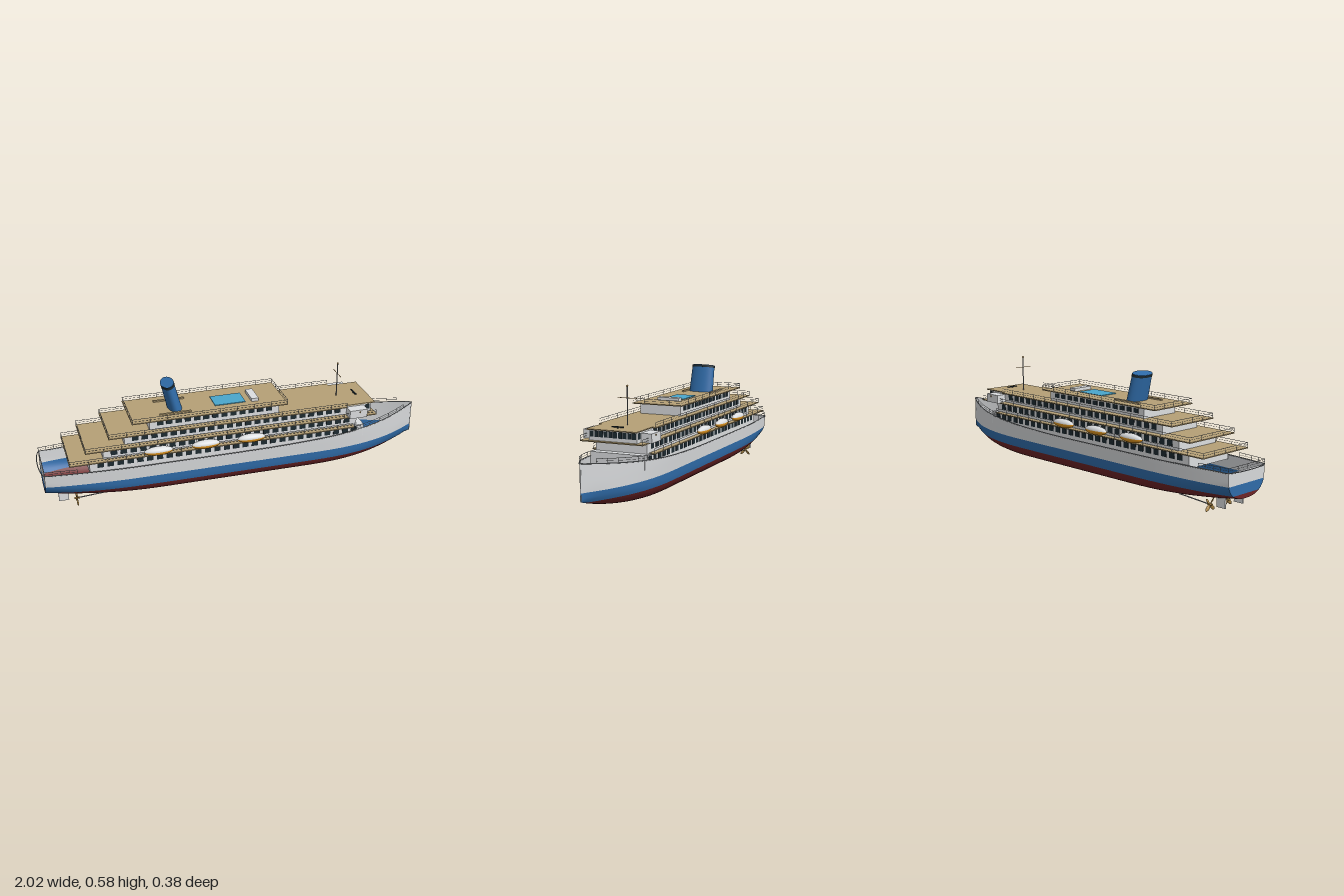
import * as THREE from 'three';
import { mergeGeometries } from 'three/addons/utils/BufferGeometryUtils.js';

const mat = (name, color, side = THREE.FrontSide) => {
  const m = new THREE.MeshStandardMaterial({ color, side });
  m.name = name;
  return m;
};

// Hull lines: keel height, sheer height, half breadth and section shape
const keelY = x => x < -0.4 ? 0.033 + 0.05 * ((-0.4 - x) / 0.6) ** 2
  : 0.033 + 0.082 * (Math.max(0, x - 0.35) / 0.65) ** 2.5;
const sheerY = x => 0.218 + 0.065 * Math.max(0, x) ** 2;
const beam = x => x > 0.35 ? 0.163 * (1 - ((x - 0.35) / 0.65) ** 2.6)
  : 0.163 - 0.033 * (Math.max(0, -0.5 - x) / 0.5) ** 2;
function halfWidth(x, y) {
  const k = keelY(x), u = Math.min(1, Math.max(0, (y - k) / 0.095));
  const section = (1 - (1 - u) ** 2.4) ** (1 / 2.4);
  return beam(x) * section * (0.965 + 0.035 * Math.min(1, y / 0.21));
}

// Surface over a grid of nu by nv cells
function grid(nu, nv, point) {
  const pos = [], idx = [];
  for (let i = 0; i <= nu; i++) for (let j = 0; j <= nv; j++) pos.push(...point(i / nu, j / nv));
  for (let i = 0; i < nu; i++) for (let j = 0; j < nv; j++) {
    const a = i * (nv + 1) + j, b = a + nv + 1;
    idx.push(a, b, a + 1, b, b + 1, a + 1);
  }
  const g = new THREE.BufferGeometry();
  g.setAttribute('position', new THREE.Float32BufferAttribute(pos, 3));
  g.setIndex(idx);
  g.computeVertexNormals();
  return g;
}

// Box given by its limits
function box(x0, x1, y0, y1, z0, z1) {
  return new THREE.BoxGeometry(x1 - x0, y1 - y0, z1 - z0)
    .translate((x0 + x1) / 2, (y0 + y1) / 2, (z0 + z1) / 2);
}

// Thin rod between two points
function rod(a, b, r = 0.0012) {
  const p = new THREE.Vector3(...a), q = new THREE.Vector3(...b);
  const d = q.clone().sub(p);
  const g = new THREE.CylinderGeometry(r, r, d.length(), 5);
  g.applyQuaternion(new THREE.Quaternion().setFromUnitVectors(new THREE.Vector3(0, 1, 0), d.normalize()));
  return g.translate(...p.add(q).multiplyScalar(0.5).toArray());
}

// Railing with posts and two bars along a list of points
function railing(points, h = 0.022) {
  const parts = [], up = (p, k) => [p[0], p[1] + k, p[2]];
  points.forEach((p, i) => {
    parts.push(rod(p, up(p, h), 0.001));
    if (i) for (const k of [h, h / 2]) parts.push(rod(up(points[i - 1], k), up(p, k), k === h ? 0.0012 : 0.0007));
  });
  return mergeGeometries(parts);
}

export function createModel() {
  const ship = new THREE.Group();
  ship.name = 'oceanLiner';
  const white = mat('white', 0xdcdee0);
  const hullWhite = mat('hullWhite', 0xd6d8da, THREE.DoubleSide);
  const blue = mat('blue', 0x2f6ba8, THREE.DoubleSide);
  const red = mat('bottomRed', 0x6e2426, THREE.DoubleSide);
  const tan = mat('deckTan', 0xb5a076);
  const orange = mat('lifeboatOrange', 0xe0951f);
  const dark = mat('darkGlass', 0x1d2a30);
  const water = mat('poolWater', 0x4aa6cc);
  const bronze = mat('bronze', 0xb08a48);
  const grey = mat('railGrey', 0x8f9396);
  const add = (name, g, m) => {
    const mesh = new THREE.Mesh(g, m);
    mesh.name = name;
    ship.add(mesh);
    return mesh;
  };

  // Open hull shell in three painted bands, with a flat transom
  const bands = [['hullBottom', red, 0, 0.105, 10], ['hullStripe', blue, 0.105, 0.153, 4], ['hullTopsides', hullWhite, 0.153, 1, 5]];
  for (const [name, m, lo, hi, rows] of bands) {
    const height = (x, v) => {
      const k = keelY(x), a = Math.max(lo, k), b = Math.max(a, Math.min(hi, sheerY(x)));
      return a + (b - a) * (lo ? v : v ** 2.2);
    };
    const parts = [1, -1].map(s => grid(64, rows, (u, v) => {
      const x = -1 + 2 * u, y = height(x, v);
      return [x, y, s * halfWidth(x, y)];
    }));
    parts.push(grid(2, rows, (u, v) => {
      const y = height(-1, v);
      return [-1, y, (2 * u - 1) * halfWidth(-1, y)];
    }));
    add(name, mergeGeometries(parts), m);
  }

  // Cap along the top edge of the hull
  const rim = [];
  for (let i = 0; i <= 40; i++) {
    const x = -1 + i / 20;
    rim.push(new THREE.Vector3(x, sheerY(x), halfWidth(x, sheerY(x))));
  }
  const loop = [...rim, ...rim.slice(0, -1).reverse().map(p => new THREE.Vector3(p.x, p.y, -p.z))];
  add('hullRim', new THREE.TubeGeometry(new THREE.CatmullRomCurve3(loop, true), 160, 0.0025, 5, true), grey);
  add('stem', rod([0.997, 0.118, 0], [0.997, 0.283, 0], 0.003), hullWhite);

  // Bow and stern railings following the hull edge
  const edge = (x, s) => [x, sheerY(x), s * halfWidth(x, sheerY(x))];
  for (const s of [1, -1]) {
    add('bowRail', railing([0.58, 0.64, 0.7, 0.76, 0.82, 0.88, 0.93].map(x => edge(x, s))), grey);
    add('sternRail', railing([-0.84, -0.88, -0.92, -0.96, -1].map(x => edge(x, s))), grey);
  }
  add('transomRail', railing([-1, -0.5, 0, 0.5, 1].map(k => [-1, 0.218, k * halfWidth(-1, 0.218)])), grey);

  // House tiers: house ends, heights, half width, window height, then deck slab ends and half width
  const tiers = [
    { x0: -0.78, x1: 0.66, y0: 0.2, y1: 0.267, w: 0.14, win: [0.231, 0.258], d0: -0.88, d1: 0.6, dw: 0.162 },
    { x0: -0.71, x1: 0.62, y0: 0.267, y1: 0.325, w: 0.132, win: [0.286, 0.314], d0: -0.8, d1: 0.72, dw: 0.16 },
    { x0: -0.6, x1: 0.57, y0: 0.325, y1: 0.38, w: 0.122, win: [0.344, 0.372], d0: -0.68, d1: 0.56, dw: 0.148 },
    { x0: -0.47, x1: 0.2, y0: 0.38, y1: 0.437, w: 0.11, win: [0.404, 0.426], d0: -0.56, d1: 0.24, dw: 0.134 },
  ];
  tiers.forEach((t, n) => {
    add('house' + (n + 1), box(t.x0, t.x1, t.y0, t.y1, -t.w, t.w), white);
    add('deck' + (n + 1), box(t.d0, t.d1, t.y1 - 0.002, t.y1 + 0.003, -t.dw, t.dw), tan);
    const panes = [], count = Math.round((t.x1 - t.x0 - 0.06) / 0.0485), pitch = (t.x1 - t.x0 - 0.06) / count;
    for (let i = 0; i < count; i++) for (const s of [1, -1]) {
      const x = t.x0 + 0.03 + (i + 0.5) * pitch;
      panes.push(box(x - 0.016, x + 0.016, ...t.win, s * t.w - 0.002, s * t.w + 0.002));
    }
    add('windows' + (n + 1), mergeGeometries(panes), dark);
    const y = t.y1 + 0.003, w = t.dw - 0.002, a = t.d0 + 0.002, b = t.d1 - 0.002, pts = [];
    const steps = Math.round((b - a) / 0.09);
    for (let i = 0; i <= steps; i++) pts.push([b + (a - b) * i / steps, y, w]);
    for (const k of [0.5, 0, -0.5]) pts.push([a, y, k * w]);
    for (let i = 0; i <= steps; i++) pts.push([a + (b - a) * i / steps, y, -w]);
    if (n === 3) for (const k of [-0.5, 0, 0.5, 1]) pts.push([b, y, k * w]);
    add('deckRail' + (n + 1), railing(pts), grey);
  });

  // Bridge with front windows, wings, roof and scanner
  add('bridge', box(0.56, 0.7, 0.325, 0.38, -0.122, 0.122), white);
  add('bridgeRoof', box(0.555, 0.72, 0.378, 0.383, -0.128, 0.128), tan);
  const bridgePanes = [];
  for (let i = 0; i < 10; i++) {
    const z = (i - 4.5) * 0.024;
    bridgePanes.push(box(0.698, 0.702, 0.345, 0.373, z - 0.0095, z + 0.0095));
  }
  for (const s of [1, -1]) {
    bridgePanes.push(box(0.67, 0.693, 0.345, 0.373, s * 0.122 - 0.002, s * 0.122 + 0.002));
    add('bridgeWing', box(0.565, 0.66, 0.326, 0.37, s * 0.148 - 0.027, s * 0.148 + 0.027), white);
    add('wingLight', new THREE.SphereGeometry(0.004, 8, 6).translate(0.62, 0.36, s * 0.177), bronze);
  }
  add('bridgeWindows', mergeGeometries(bridgePanes), dark);
  add('scanner', box(0.65, 0.657, 0.387, 0.392, -0.03, 0.03), dark);
  add('scannerPost', rod([0.653, 0.38, 0], [0.653, 0.388, 0], 0.004), dark);

  // Mast
  add('mast', rod([0.555, 0.38, 0], [0.555, 0.565, 0], 0.003), grey);
  add('mastYard', rod([0.555, 0.51, -0.05], [0.555, 0.51, 0.05], 0.0015), bronze);
  add('mastLight', new THREE.SphereGeometry(0.005, 10, 8).translate(0.555, 0.566, 0), bronze);

  // Raked oval funnel with a dark band
  const funnel = new THREE.Group();
  funnel.name = 'funnel';
  const oval = (name, r1, r0, h, y, m) => {
    const mesh = new THREE.Mesh(new THREE.CylinderGeometry(r1, r0, h, 40).scale(0.52, 1, 1).translate(0, y, 0), m);
    mesh.name = name;
    funnel.add(mesh);
  };
  oval('funnelBody', 0.0625, 0.067, 0.15, 0.07, blue);
  oval('funnelBand', 0.0645, 0.065, 0.012, 0.1375, dark);
  funnel.position.set(-0.318, 0.437, 0);
  funnel.rotation.z = 0.24;
  ship.add(funnel);

  // Top deck fittings
  add('pool', box(-0.12, 0.04, 0.438, 0.4435, -0.053, 0.053), water);
  add('poolHouse', box(0.07, 0.108, 0.438, 0.456, -0.058, 0.058), white);
  for (const s of [1, -1]) add('deckBench', box(-0.41, -0.25, 0.438, 0.447, s * 0.078 - 0.006, s * 0.078 + 0.006), tan);

  // Lifeboats: orange hull, white cover, hung from davits
  for (const s of [1, -1]) for (const x of [-0.44, -0.2, 0.037]) {
    const half = (start, len) => new THREE.SphereGeometry(1, 24, 10, 0, Math.PI * 2, start, len)
      .scale(0.073, 0.0225, 0.0245).translate(x, 0.294, s * 0.168);
    add('lifeboatHull', half(Math.PI * 0.48, Math.PI * 0.52), orange);
    add('lifeboatCover', half(0, Math.PI * 0.48), white);
    for (const k of [-0.045, 0.045]) {
      add('davit', rod([x + k, 0.326, s * 0.15], [x + k, 0.308, s * 0.166], 0.002), grey);
    }
  }

  // Twin propellers, shafts and rudders
  for (const s of [1, -1]) {
    const z = s * 0.063, blades = [];
    for (let i = 0; i < 4; i++) {
      blades.push(new THREE.SphereGeometry(1, 10, 8).scale(0.003, 0.019, 0.009).rotateY(0.5)
        .translate(0, 0.022, 0).rotateX(Math.PI / 4 + i * Math.PI / 2).translate(-0.845, 0.032, z));
    }
    add('propeller', mergeGeometries(blades), bronze);
    add('propellerHub', rod([-0.858, 0.032, z], [-0.832, 0.032, z], 0.006), bronze);
    add('propellerShaft', rod([-0.84, 0.032, z], [-0.66, 0.045, z], 0.003), grey);
    add('rudder', box(-0.935, -0.885, 0.03, 0.085, z - 0.004, z + 0.004), white);
  }
  return ship;
}
